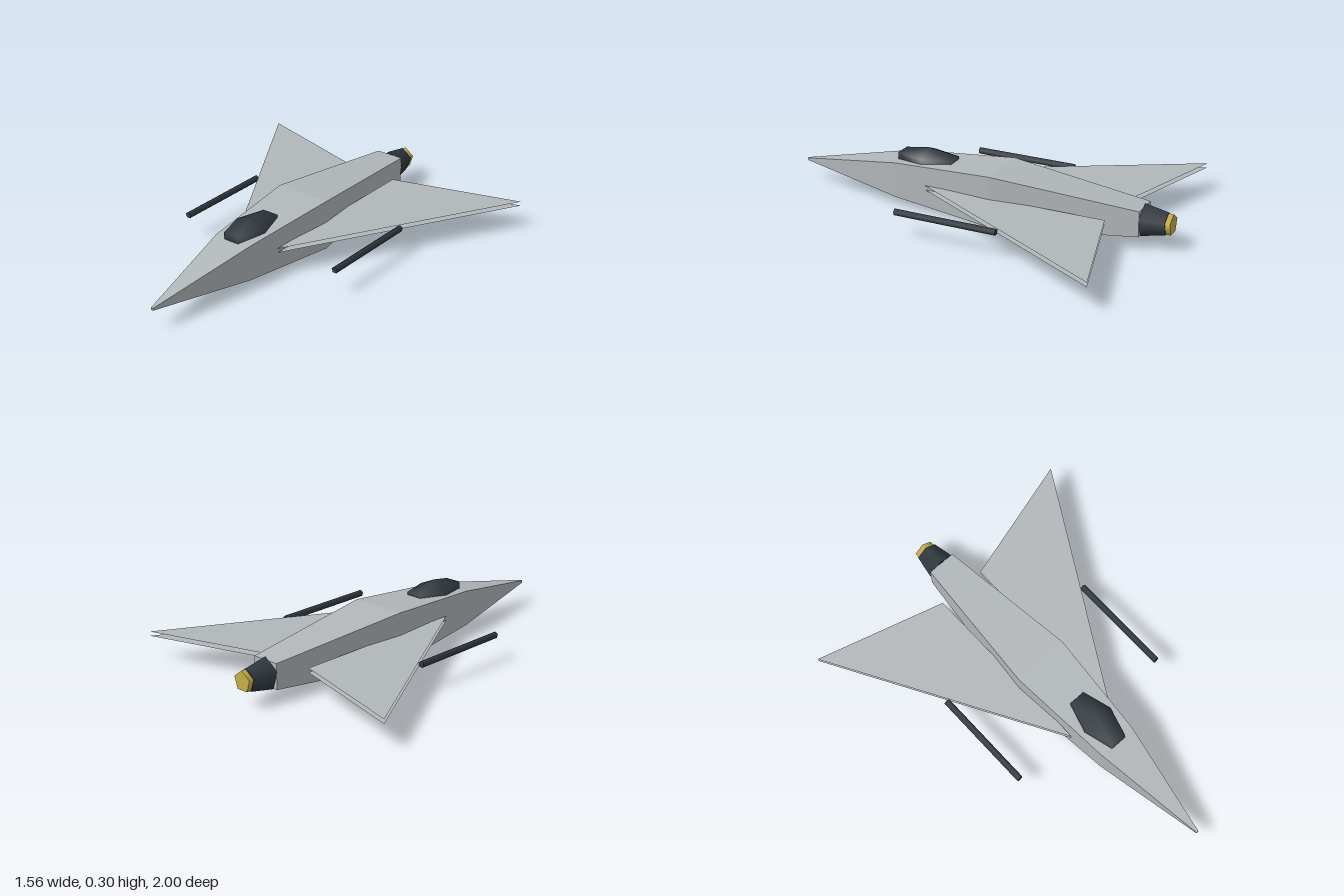
import * as THREE from 'three';

const hullGrey = new THREE.MeshStandardMaterial({ name: 'hullGrey', color: 0xb1b6b9, side: THREE.DoubleSide });
const darkMetal = new THREE.MeshStandardMaterial({ name: 'darkMetal', color: 0x30383f });
const gold = new THREE.MeshStandardMaterial({ name: 'gold', color: 0xc6ae48 });

function add(group, name, geometry, material, x = 0, y = 0, z = 0) {
  const mesh = new THREE.Mesh(geometry, material);
  mesh.name = name;
  mesh.position.set(x, y, z);
  group.add(mesh);
  return mesh;
}

// Rectangular sections [z, halfWidth, bottom, top], from nose to tail, joined by flat panels
function hullGeometry(sections) {
  const rings = sections.map(([z, w, b, t]) => [[-w, b, z], [w, b, z], [w, t, z], [-w, t, z]]);
  const pos = [];
  const quad = (a, b, c, d) => pos.push(...a, ...b, ...c, ...a, ...c, ...d);
  for (let i = 0; i < rings.length - 1; i++) {
    const f = rings[i], r = rings[i + 1];
    for (let k = 0; k < 4; k++) {
      const n = (k + 1) % 4;
      quad(f[k], r[k], r[n], f[n]);
    }
  }
  quad(...rings[0]);
  quad(...[...rings[rings.length - 1]].reverse());
  const g = new THREE.BufferGeometry();
  g.setAttribute('position', new THREE.Float32BufferAttribute(pos, 3));
  g.computeVertexNormals();
  return g;
}

// Five-sided tube along z, one corner up
const tube = (rBack, rFront, length) =>
  new THREE.CylinderGeometry(rBack, rFront, length, 5).rotateX(-Math.PI / 2);

export function createModel() {
  const model = new THREE.Group();
  model.name = 'starfighter';

  add(model, 'fuselage', hullGeometry([
    [1, 0.006, 0.108, 0.12],
    [0.43, 0.102, 0.044, 0.226],
    [-0.11, 0.145, 0, 0.262],
    [-0.855, 0.073, 0.068, 0.197],
  ]), hullGrey);

  // Faceted canopy sunk into the hull
  const canopy = new THREE.SphereGeometry(1, 6, 3).scale(0.098, 0.076, 0.197);
  add(model, 'canopy', canopy, darkMetal, 0, 0.222, 0.295);

  // Engine
  add(model, 'engineNozzle', tube(0.058, 0.082, 0.12), darkMetal, 0, 0.132, -0.915);
  add(model, 'engineExhaust', tube(0.053, 0.053, 0.03), gold, 0, 0.132, -0.985);

  // Wings are paired upper and lower skins; a cannon lies beside each
  for (const [side, s] of [['left', 1], ['right', -1]]) {
    const outline = new THREE.Shape([[0.125, -0.25], [0.78, 0.895], [0.125, 0.705]]
      .map(([x, y]) => new THREE.Vector2(s * x, y)));
    for (const [skin, y] of [['Upper', 0.146], ['Lower', 0.124]]) {
      add(model, `${side}Wing${skin}Skin`, new THREE.ShapeGeometry(outline).rotateX(-Math.PI / 2), hullGrey, 0, y, 0);
    }
    add(model, `${side}Cannon`, tube(0.017, 0.017, 0.535), darkMetal, s * 0.453, 0.135, -0.032);
  }
  return model;
}
